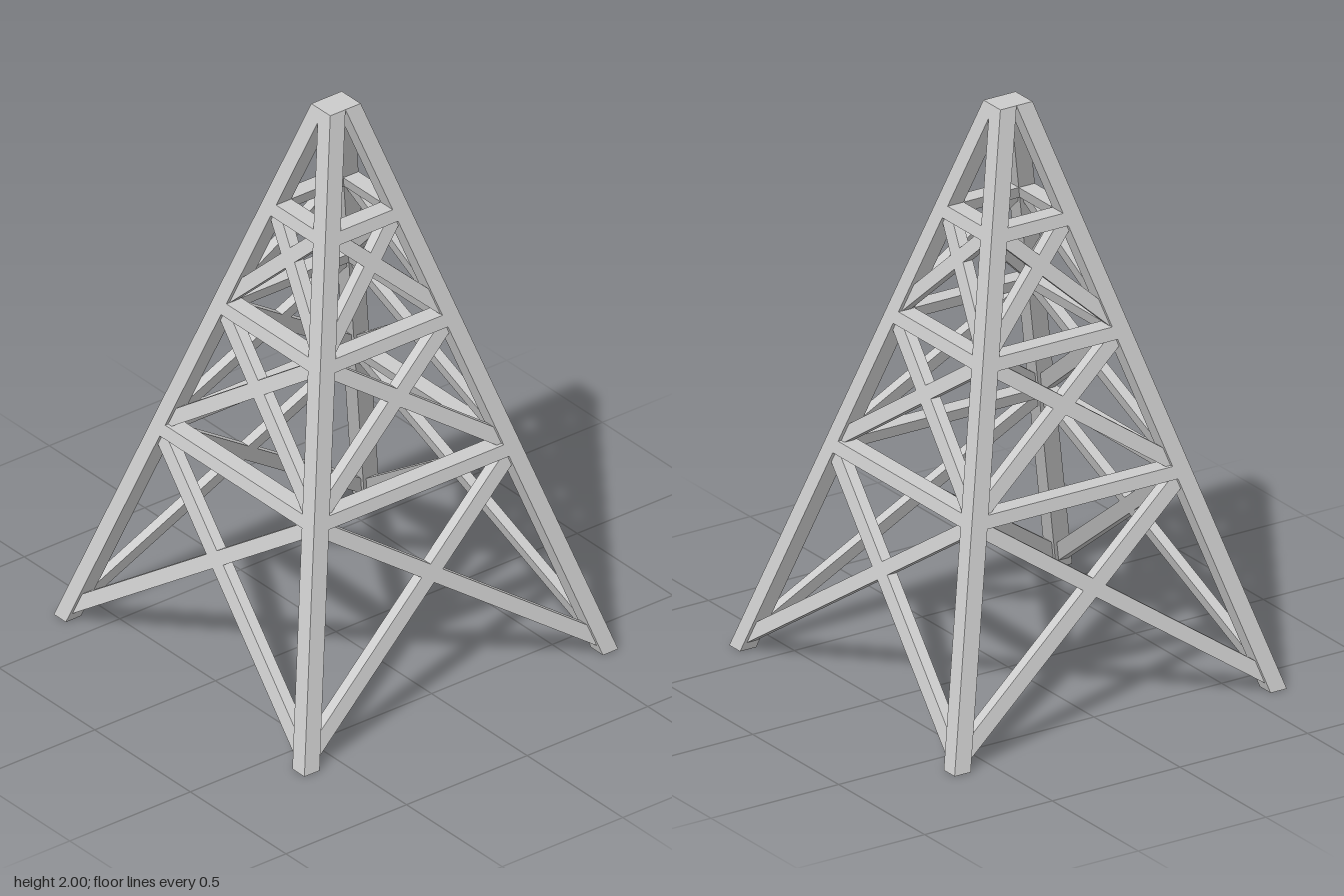
import * as THREE from 'three';

const HEIGHT = 2;
const LEG = 0.063; // side of a leg's square section

// Distance of the leg axis from the centre at height y, across x and z
const legX = (y) => 0.619 + (0.0315 - 0.619) * (y / HEIGHT);
const legZ = (y) => 0.624 + (0.018 - 0.624) * (y / HEIGHT);

const material = new THREE.MeshStandardMaterial({ color: 0xcccccc, flatShading: true });

// Moves every vertex by a rule, then rebuilds the flat normals
function reshape(geometry, rule) {
  const p = geometry.attributes.position;
  const v = new THREE.Vector3();
  for (let i = 0; i < p.count; i++) {
    rule(v.fromBufferAttribute(p, i));
    p.setXYZ(i, v.x, v.y, v.z);
  }
  geometry.computeVertexNormals();
  return geometry;
}

function addMesh(parent, geometry, name) {
  const mesh = new THREE.Mesh(geometry, material);
  mesh.name = name;
  parent.add(mesh);
}

// Bar from (u0, y0) to (u1, y1) in a tower face, leaning with the legs
function bar(u0, y0, u1, y1, width, depth, lean) {
  const g = new THREE.BoxGeometry(Math.hypot(u1 - u0, y1 - y0), width, depth);
  g.rotateZ(Math.atan2(y1 - y0, u1 - u0));
  g.translate((u0 + u1) / 2, (y0 + y1) / 2, 0);
  return reshape(g, (v) => { v.z += lean(v.y); });
}

// One lattice face: horizontal girts and crossed braces
function createFace(name, across, lean, angle) {
  const face = new THREE.Group();
  face.name = name;
  for (const y of [0.75, 1.225, 1.612]) {
    const u = across(y);
    addMesh(face, bar(-u, y, u, y, 0.042, LEG, lean), 'girt');
  }
  for (const [y0, y1] of [[0.04, 0.735], [0.765, 1.22], [1.25, 1.62]]) {
    for (const s of [-1, 1]) {
      const g = bar(-s * across(y0), y0, s * across(y1), y1, 0.05, 0.038, lean);
      addMesh(face, g, 'crossBrace');
    }
  }
  face.rotation.y = angle;
  return face;
}

export function createModel() {
  const tower = new THREE.Group();
  tower.name = 'latticeTower';

  // Four legs leaning in to the top, cut level at both ends
  for (const sx of [-1, 1]) {
    for (const sz of [-1, 1]) {
      const g = new THREE.BoxGeometry(LEG, HEIGHT, LEG).translate(0, HEIGHT / 2, 0);
      reshape(g, (v) => {
        v.x += sx * legX(v.y);
        v.z += sz * legZ(v.y);
      });
      addMesh(tower, g, 'leg');
    }
  }

  // Four lattice faces
  tower.add(createFace('frontLattice', legX, legZ, 0));
  tower.add(createFace('backLattice', legX, legZ, Math.PI));
  tower.add(createFace('leftLattice', legZ, legX, Math.PI / 2));
  tower.add(createFace('rightLattice', legZ, legX, -Math.PI / 2));
  return tower;
}
